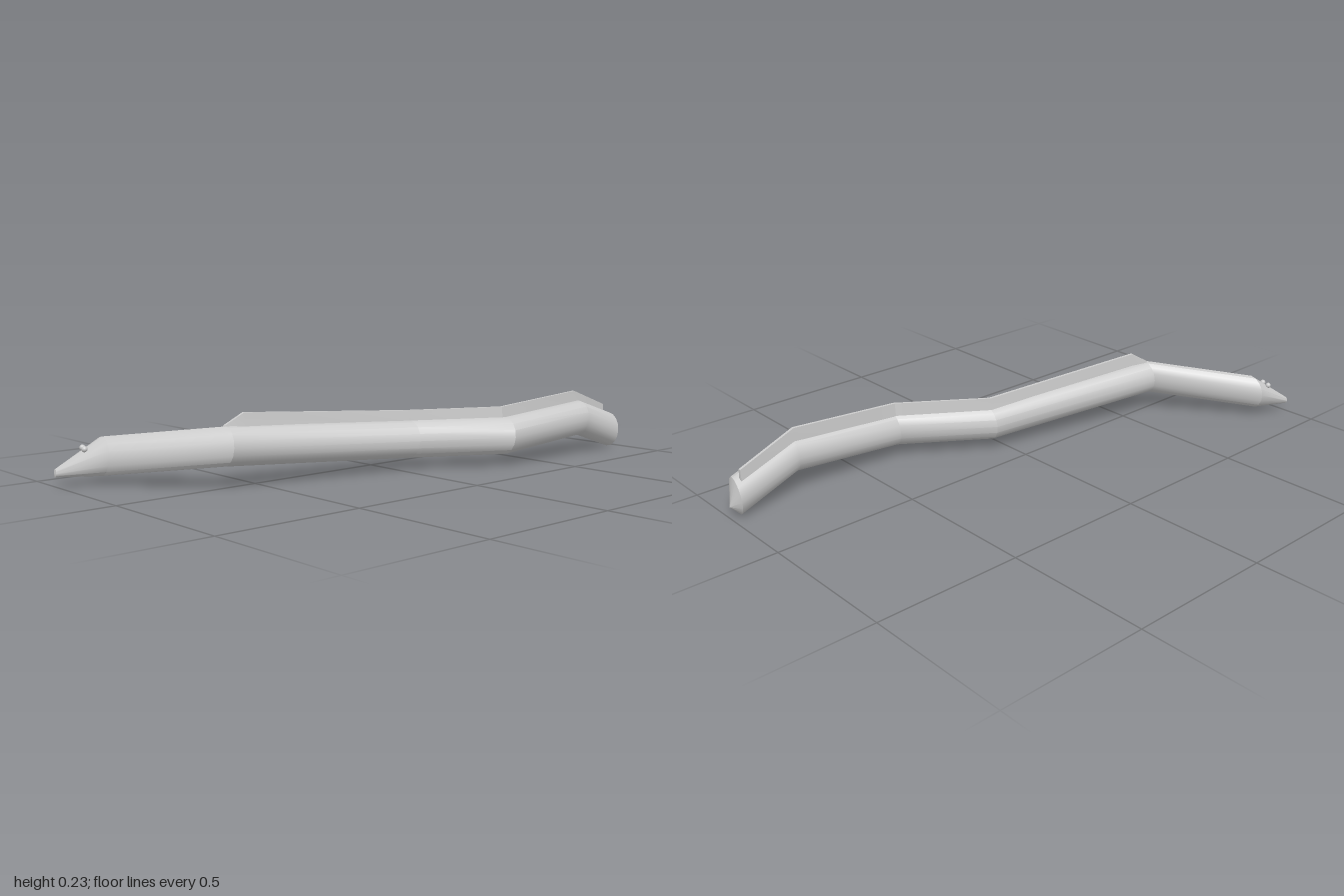
import * as THREE from 'three';
import { toCreasedNormals } from 'three/addons/utils/BufferGeometryUtils.js';

const SIDES = 16;
const material = new THREE.MeshStandardMaterial({ color: 0xcccccc });

// Skin a row of cross-sections that run towards +x
function loft(sections) {
  const n = sections[0].length;
  const positions = sections.flat(2);
  const index = [];
  for (let i = 0; i < sections.length - 1; i++) {
    for (let j = 0; j < n; j++) {
      const a = i * n + j, b = i * n + (j + 1) % n;
      index.push(a, a + n, b, b, a + n, b + n);
    }
  }
  const geometry = new THREE.BufferGeometry();
  geometry.setAttribute('position', new THREE.Float32BufferAttribute(positions, 3));
  geometry.setIndex(index);
  return toCreasedNormals(geometry, 0.45);
}

// Oval section, leaning slightly out of the x plane
function ring([x, y, z, ry, rz, lean = 0.1]) {
  return Array.from({ length: SIDES }, (_, j) => {
    const a = (j / SIDES) * Math.PI * 2;
    const dy = Math.sin(a) * ry, dz = Math.cos(a) * rz;
    return [x - lean * dz + 0.08 * dy, y + dy, z + dz];
  });
}

// Four-cornered fin section given by its top edge and height
function finSection([x, y, z, height]) {
  const t = height ? 0.005 : 0;
  return [
    [x, y, z + t], [x, y, z - t],
    [x, y - height, z - t * 1.8], [x, y - height, z + t * 1.8],
  ];
}

export function createModel() {
  const group = new THREE.Group();
  const add = (name, geometry) => {
    const mesh = new THREE.Mesh(geometry, material);
    mesh.name = name;
    group.add(mesh);
    return mesh;
  };

  // Snout, bent body and blunt pointed tail in one skin
  add('body', loft([
    [-1.0, 0.043, -0.38, 0, 0],
    [-0.997, 0.043, -0.379, 0.013, 0.01],
    [-0.872, 0.092, -0.307, 0.063, 0.058],
    [-0.615, 0.132, 0.002, 0.063, 0.058],
    [0.058, 0.1, 0.134, 0.064, 0.058],
    [0.34, 0.104, 0.315, 0.064, 0.057],
    [0.738, 0.132, 0.323, 0.063, 0.058],
    [0.965, 0.064, 0.296, 0.064, 0.057, 0.18],
    [0.998, 0.04, 0.282, 0, 0],
  ].map(ring)));

  // Low fin along the back
  add('dorsalFin', loft([
    [-0.615, 0.185, -0.008, 0],
    [-0.61, 0.197, -0.007, 0.03],
    [-0.55, 0.235, 0.012, 0.06],
    [0.065, 0.198, 0.114, 0.06],
    [0.345, 0.203, 0.293, 0.06],
    [0.74, 0.229, 0.3, 0.06],
    [0.955, 0.16, 0.274, 0.07],
    [0.957, 0.12, 0.274, 0],
  ].map(finSection)));

  // Eyes on top of the snout
  for (const [name, x, z] of [['rightEye', -0.912, -0.355], ['leftEye', -0.922, -0.323]]) {
    add(name, new THREE.SphereGeometry(0.01, 12, 8)).position.set(x, 0.118, z);
  }

  return group;
}
